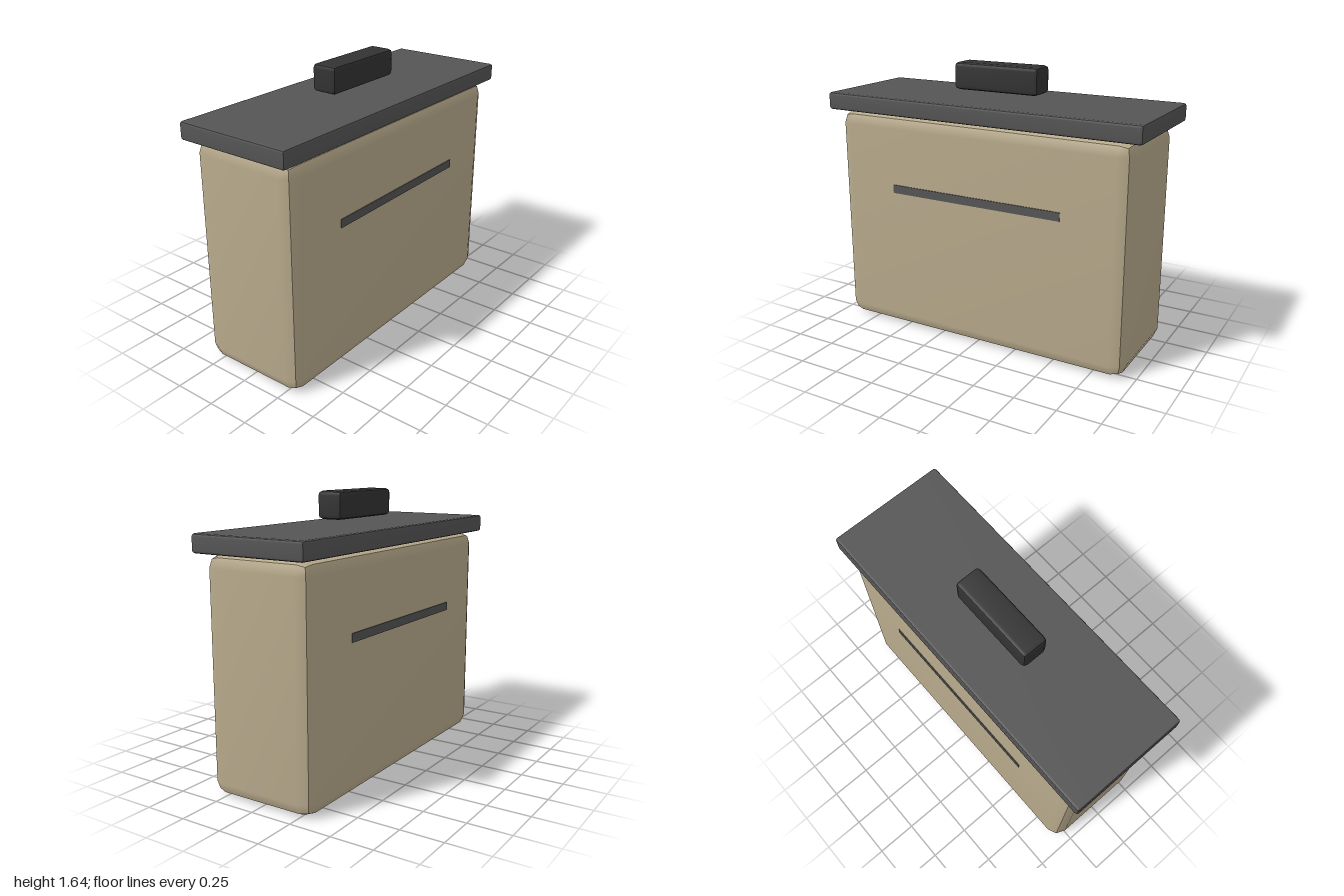
import * as THREE from 'three';

// Box with a two-step bevel of radius r; each side is smooth, creased along the middle of the bevel.
function bevelledBox(w, h, d, r) {
  const geo = new THREE.BoxGeometry(2, 2, 2, 3, 3, 3);
  const pos = geo.attributes.position;
  const core = new THREE.Vector3(w / 2 - r, h / 2 - r, d / 2 - r);
  const p = new THREE.Vector3();
  const sign = new THREE.Vector3();
  for (let i = 0; i < pos.count; i++) {
    p.fromBufferAttribute(pos, i);
    sign.set(Math.sign(p.x), Math.sign(p.y), Math.sign(p.z));
    // keep only the outer coordinates as the bevel direction
    p.set(Math.trunc(p.x * 1.001), Math.trunc(p.y * 1.001), Math.trunc(p.z * 1.001));
    p.normalize().multiplyScalar(r).add(sign.multiply(core));
    pos.setXYZ(i, p.x, p.y, p.z);
  }
  geo.computeVertexNormals();
  return geo;
}

export function createModel() {
  const model = new THREE.Group();
  model.name = 'lidded container';
  const tan = new THREE.MeshStandardMaterial({ color: 0xb8aa8c });
  const grey = new THREE.MeshStandardMaterial({ color: 0x555555 });
  const dark = new THREE.MeshStandardMaterial({ color: 0x333333 });

  const add = (name, geo, material, x, y, z) => {
    const mesh = new THREE.Mesh(geo, material);
    mesh.name = name;
    mesh.position.set(x, y, z);
    model.add(mesh);
  };

  // Body, overhanging lid and the grip above it
  add('body', bevelledBox(0.67, 1.34, 1.884, 0.08), tan, 0, 0.67, 0);
  add('lid', bevelledBox(0.717, 0.104, 2, 0.016), grey, 0, 1.392, 0);
  add('handle', bevelledBox(0.16, 0.16, 0.55, 0.025), dark, 0, 1.56, 0);

  // Trim strip on each long side
  for (const [name, side] of [['leftStrip', 1], ['rightStrip', -1]]) {
    add(name, new THREE.BoxGeometry(0.02, 0.05, 1.1), grey, side * 0.33, 0.894, 0);
  }
  return model;
}
